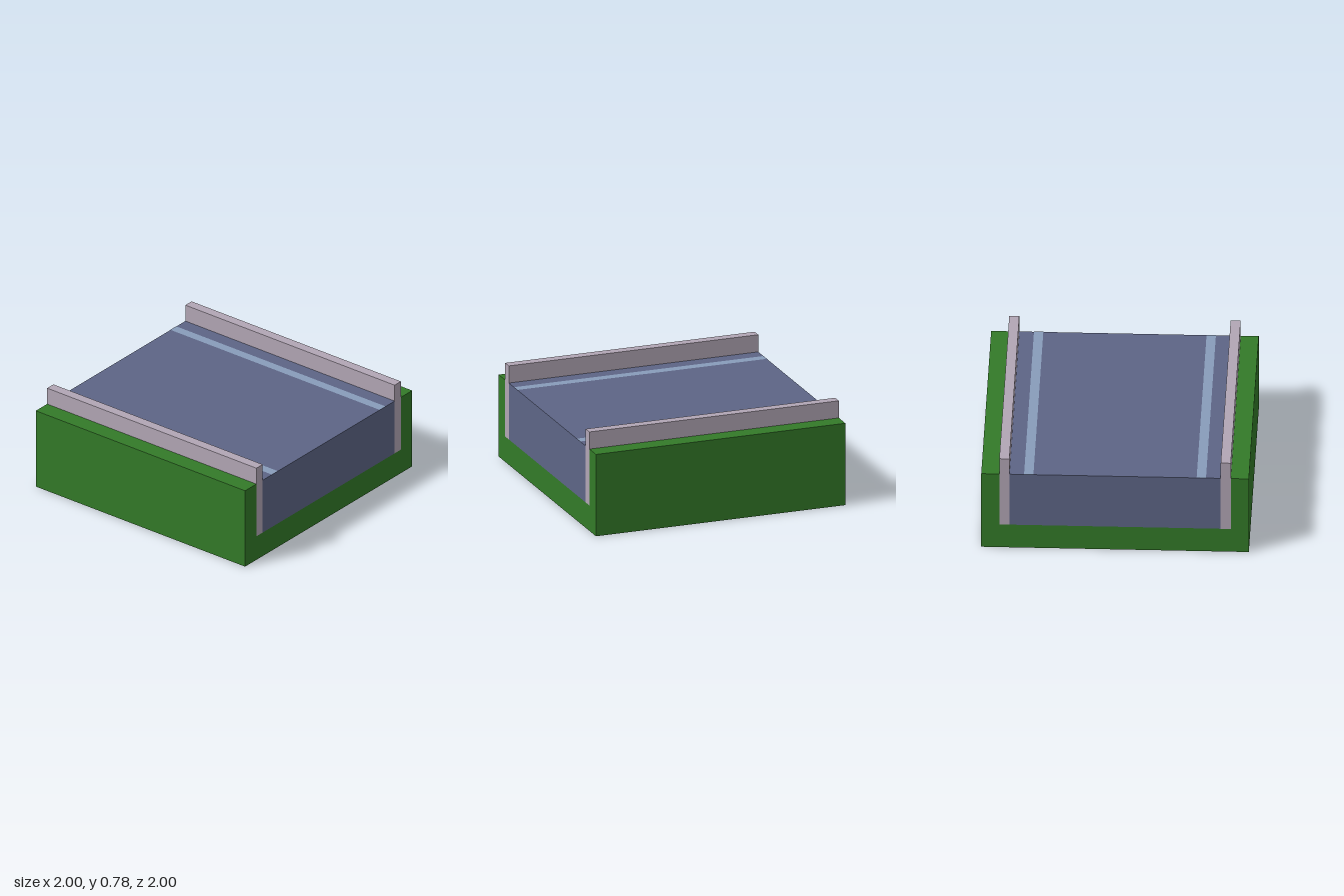
import * as THREE from 'three';

const LENGTH = 2;
const BED = 0.2;      // channel floor height
const SURFACE = 0.645; // bank and water level
const WALL_TOP = 0.78;
const WALL_IN = 0.79;
const WALL_OUT = 0.865;

function material(color) {
  return new THREE.MeshStandardMaterial({ color, flatShading: true });
}

function addMesh(parent, name, geometry, mat) {
  const mesh = new THREE.Mesh(geometry, mat);
  mesh.name = name;
  parent.add(mesh);
  return mesh;
}

export function createModel() {
  const group = new THREE.Group();
  group.name = 'canalTile';

  const grass = material(0x337a28);
  const stone = material(0xb2a6b5);
  const water = material(0x5d6586);
  const foam = material(0x889cba);

  // Grassy ground: U-shaped section run along x
  const section = new THREE.Shape([
    [-1, 0], [1, 0], [1, SURFACE], [WALL_OUT, SURFACE], [WALL_OUT, BED],
    [-WALL_OUT, BED], [-WALL_OUT, SURFACE], [-1, SURFACE],
  ].map(([x, y]) => new THREE.Vector2(x, y)));
  const ground = new THREE.ExtrudeGeometry(section, { depth: LENGTH, bevelEnabled: false });
  ground.translate(0, 0, -LENGTH / 2).rotateY(Math.PI / 2);
  addMesh(group, 'ground', ground, grass);

  // Water filling the channel between the walls
  const depth = SURFACE - BED;
  addMesh(group, 'water', new THREE.BoxGeometry(LENGTH, depth, 2 * WALL_IN), water)
    .position.y = BED + depth / 2;

  for (const [side, s] of [['front', 1], ['back', -1]]) {
    // Retaining wall
    const height = WALL_TOP - BED;
    addMesh(group, side + 'Wall', new THREE.BoxGeometry(LENGTH, height, WALL_OUT - WALL_IN), stone)
      .position.set(0, BED + height / 2, s * (WALL_IN + WALL_OUT) / 2);

    // Pale ripple line lying on the water
    const ripple = new THREE.PlaneGeometry(LENGTH, 0.07).rotateX(-Math.PI / 2);
    addMesh(group, side + 'Ripple', ripple, foam).position.set(0, SURFACE + 0.002, s * 0.645);
  }

  return group;
}
